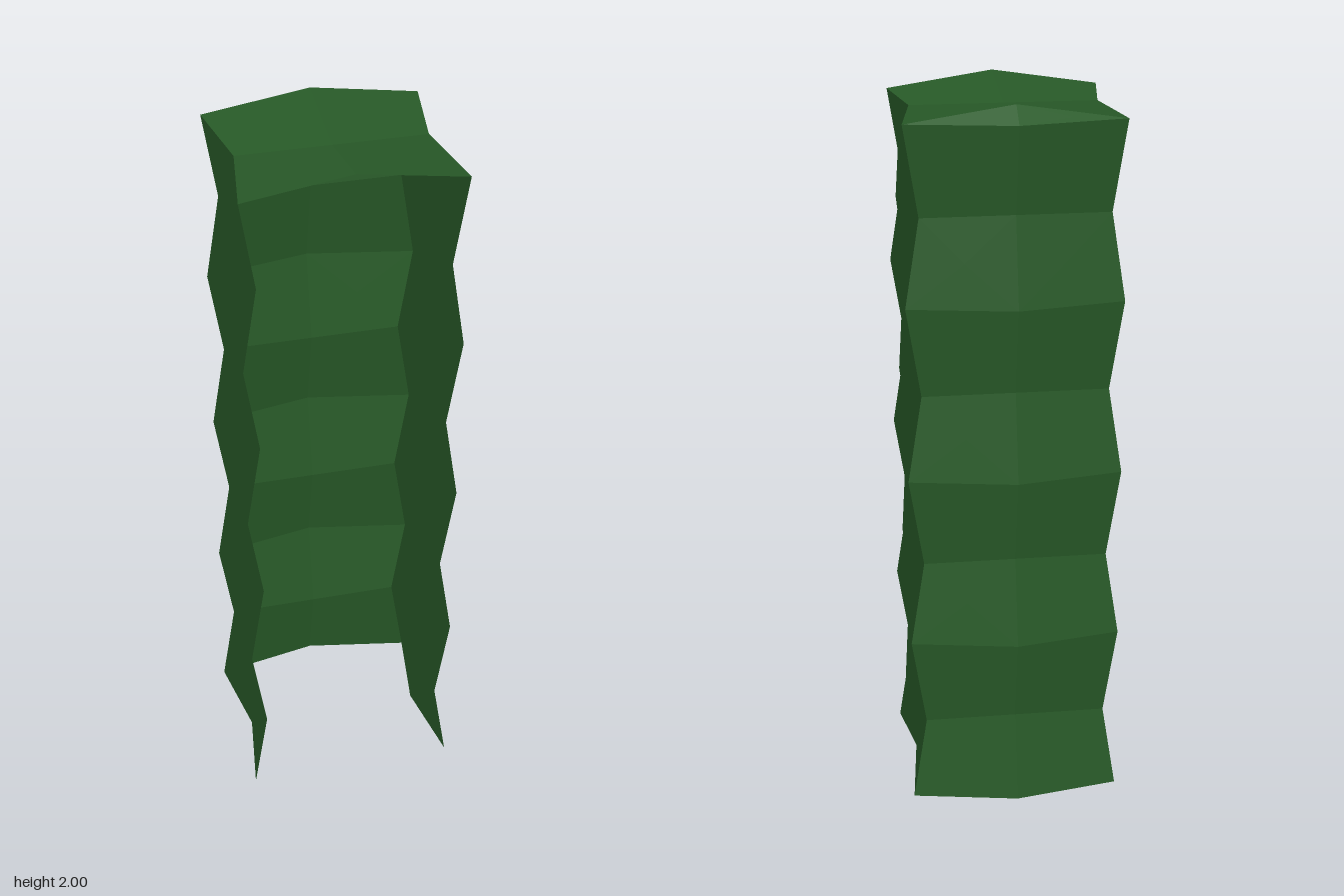
import * as THREE from 'three';

const W = 0.293, IN = 0.254;             // outer and inner half widths
const FRONT = 0.273, MID = 0.028, BACK = -0.217, PEAK = -0.273;
const H = 1.956, TOP = 2, ROWS = 8;

const material = new THREE.MeshStandardMaterial({ color: 0x285a28, side: THREE.DoubleSide });

// Sheet of folded quads: each is a shallow saddle around its centre, shaded with one normal
function foldedSheet(name, rows, cols, point) {
  const positions = [], normals = [];
  for (let i = 0; i < rows; i++) {
    for (let j = 0; j < cols; j++) {
      const corners = [point(i, j), point(i, j + 1), point(i + 1, j + 1), point(i + 1, j)];
      const [a, b, c, d] = corners;
      const n = c.clone().sub(a).cross(d.clone().sub(b)).normalize();
      const centre = a.clone().add(b).add(c).add(d).multiplyScalar(0.25);
      corners.forEach((corner, k) => {
        for (const p of [corner, corners[(k + 1) % 4], centre]) {
          positions.push(p.x, p.y, p.z);
          normals.push(n.x, n.y, n.z);
        }
      });
    }
  }
  const geometry = new THREE.BufferGeometry();
  geometry.setAttribute('position', new THREE.Float32BufferAttribute(positions, 3));
  geometry.setAttribute('normal', new THREE.Float32BufferAttribute(normals, 3));
  const mesh = new THREE.Mesh(geometry, material);
  mesh.name = name;
  return mesh;
}

const v = (x, y, z) => new THREE.Vector3(x, y, z);
const height = (i) => (H * i) / ROWS;
const edgeX = (i) => (i % 2 === 0 ? W : IN);

export function createModel() {
  const group = new THREE.Group();
  group.name = 'foldedShelter';

  // Side walls: vertices alternate outward and inward like a checkerboard
  for (const side of [1, -1]) {
    group.add(foldedSheet(side > 0 ? 'leftWall' : 'rightWall', ROWS, 2, (i, j) => {
      const z = [FRONT, MID, BACK][side > 0 ? j : 2 - j];
      return v(side * edgeX(i + j), height(i), z);
    }));
  }

  // Back wall: centre line bulges outward on every second fold
  group.add(foldedSheet('backWall', ROWS, 2, (i, j) =>
    v((1 - j) * edgeX(i), height(i), j === 1 && i % 2 === 0 ? PEAK : BACK)));

  // Roof: peaked at front and back, with a straight valley across the middle
  group.add(foldedSheet('roof', 2, 2, (i, j) =>
    v((j - 1) * edgeX(i), j === 1 && i % 2 === 0 ? TOP : H, [FRONT, MID, BACK][i])));

  // Gusset: two triangles sloping from the roof peak down to the back wall's bulge
  group.add(foldedSheet('backGusset', 1, 2, (i, j) => {
    if (j !== 1) return v((1 - j) * W, H, BACK);
    return i === 0 ? v(0, H, PEAK) : v(0, TOP, BACK);
  }));

  return group;
}
